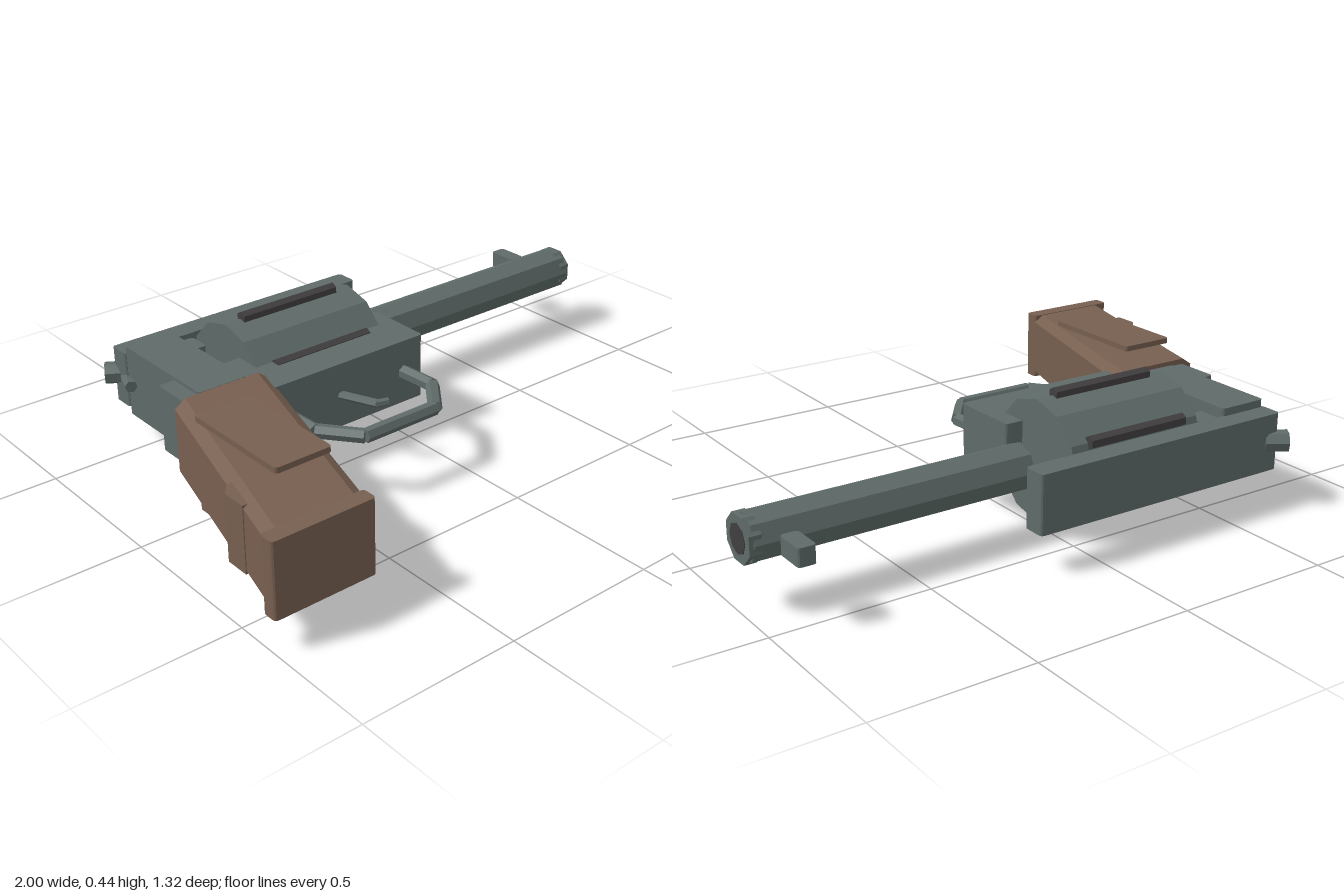
import * as THREE from 'three';

const MID = 0.222; // height of the centre plane

export function createModel() {
  const model = new THREE.Group();
  const material = (name, color) => {
    const m = new THREE.MeshStandardMaterial({ color, flatShading: true });
    m.name = name;
    return m;
  };
  const metal = material('gunmetal', 0x5f6b69);
  const wood = material('brown wood', 0x775f50);
  const dark = material('dark steel', 0x413f3f);

  const add = (name, geometry, mat, parent = model) => {
    const mesh = new THREE.Mesh(geometry, mat);
    mesh.name = name;
    parent.add(mesh);
    return mesh;
  };

  // Plate lying flat, with corners slightly rounded in plan
  const plate = (name, x0, x1, z0, z1, y0, y1, mat = metal, r = 0.012) => {
    const s = new THREE.Shape();
    const a = -z1, b = -z0;
    s.moveTo(x0 + r, a);
    s.lineTo(x1 - r, a);
    s.quadraticCurveTo(x1, a, x1, a + r);
    s.lineTo(x1, b - r);
    s.quadraticCurveTo(x1, b, x1 - r, b);
    s.lineTo(x0 + r, b);
    s.quadraticCurveTo(x0, b, x0, b - r);
    s.lineTo(x0, a + r);
    s.quadraticCurveTo(x0, a, x0 + r, a);
    const g = new THREE.ExtrudeGeometry(s, { depth: y1 - y0, bevelEnabled: false, curveSegments: 3 });
    g.rotateX(-Math.PI / 2).translate(0, y0, 0);
    return add(name, g, mat);
  };

  // Cylinder lying along x
  const along = (name, x0, x1, y, z, r, sides, mat, spin = 0) => {
    const g = new THREE.CylinderGeometry(r, r, x1 - x0, sides);
    g.rotateZ(-Math.PI / 2).rotateX(spin).translate((x0 + x1) / 2, y, z);
    return add(name, g, mat);
  };

  // Faceted rod between two [x, z] points on the centre plane
  const rod = (name, p, q, r, sides = 6, parent = model) => {
    const a = new THREE.Vector3(p[0], MID, p[1]);
    const b = new THREE.Vector3(q[0], MID, q[1]);
    const mesh = add(name, new THREE.CylinderGeometry(r, r, a.distanceTo(b), sides), metal, parent);
    mesh.position.copy(a).lerp(b, 0.5);
    mesh.quaternion.setFromUnitVectors(new THREE.Vector3(0, 1, 0), b.sub(a).normalize());
    return mesh;
  };

  // Frame
  plate('frame', -0.75, 0.08, -0.265, -0.03, 0.115, 0.33);
  plate('rearFrame', -0.695, -0.53, -0.55, -0.13, 0.105, 0.34);
  plate('recoilShield', -0.55, -0.46, -0.53, -0.45, 0.14, 0.305);
  plate('topStrap', -0.7, 0.21, -0.62, -0.543, 0.13, 0.315);
  plate('frontSight', 0.87, 0.925, -0.54, -0.435, 0.195, 0.25);

  // Barrel, muzzle and bore
  along('barrel', 0.08, 0.985, MID, -0.338, 0.075, 8, metal);
  along('muzzle', 0.96, 0.998, MID, -0.338, 0.074, 8, metal, Math.PI / 8);
  along('bore', 0.992, 1.0, MID, -0.338, 0.046, 8, dark);

  // Rotating cylinder with six dark ribs
  along('cylinder', -0.46, 0.02, MID, -0.335, 0.196, 12, metal);
  for (let i = 0; i < 6; i++) {
    const t = Math.PI / 2 + i * Math.PI / 3;
    along('cylinderRib', -0.4, -0.04, MID + 0.2 * Math.sin(t), -0.335 + 0.2 * Math.cos(t),
      0.021, 6, dark, Math.PI / 2);
  }

  // Hammer
  const hammer = new THREE.Group();
  hammer.name = 'hammer';
  model.add(hammer);
  rod('hammerSpur', [-0.725, -0.637], [-0.662, -0.598], 0.036, 7, hammer);
  rod('hammerArm', [-0.67, -0.61], [-0.712, -0.5], 0.02, 6, hammer);

  // Trigger and its guard
  const trigger = new THREE.Group();
  trigger.name = 'trigger';
  model.add(trigger);
  rod('triggerBlade', [-0.25, -0.035], [-0.2, 0.085], 0.014, 6, trigger);
  rod('triggerTip', [-0.205, 0.082], [-0.165, 0.094], 0.013, 6, trigger);

  const guard = new THREE.Group();
  guard.name = 'triggerGuard';
  model.add(guard);
  const path = [[-0.452, -0.04], [-0.447, 0.1], [-0.355, 0.218], [-0.083, 0.218], [0.01, 0.1], [0.003, -0.04]];
  for (let i = 0; i < path.length - 1; i++) rod('guardRod', path[i], path[i + 1], 0.023, 6, guard);

  // Grip: chamfered section, sheared backwards and slightly tapered
  const w = 0.163, h = 0.126, cx = 0.035, cy = 0.024;
  const section = new THREE.Shape([
    [-w + cx, -h], [w - cx, -h], [w, -h + cy], [w, h - cy],
    [w - cx, h], [-w + cx, h], [-w, h - cy], [-w, -h + cy],
  ].map(([x, y]) => new THREE.Vector2(x, y)));
  const grip = new THREE.ExtrudeGeometry(section, { depth: 0.725, bevelEnabled: false });
  const pos = grip.attributes.position;
  for (let i = 0; i < pos.count; i++) {
    const t = pos.getZ(i) / 0.725;
    pos.setXYZ(i, pos.getX(i) * (1 - 0.03 * t) - 0.625 - 0.203 * t,
      MID + pos.getY(i) * (1 - 0.08 * t), -0.115 + 0.725 * t);
  }
  grip.computeVertexNormals();
  add('grip', grip, wood);
  plate('gripBase', -1, -0.67, 0.603, 0.655, 0.105, 0.34, wood);

  // Raised rest on the back of the grip
  const rest = new THREE.Shape([[-0.85, -0.45], [-0.85, -0.33], [-0.915, -0.335], [-0.945, -0.37], [-0.945, -0.45]]
    .reverse().map(([x, y]) => new THREE.Vector2(x, y)));
  const restGeometry = new THREE.ExtrudeGeometry(rest, { depth: 0.21, bevelEnabled: false });
  restGeometry.rotateX(-Math.PI / 2).translate(0, MID - 0.105, 0);
  add('gripRest', restGeometry, wood);

  // Side panels of the grip
  for (const side of [-1, 1]) {
    const y = MID + side * 0.143;
    plate('gripPanel', -0.815, -0.628, 0.03, 0.418, y - 0.009, y + 0.009, wood);
  }

  return model;
}
